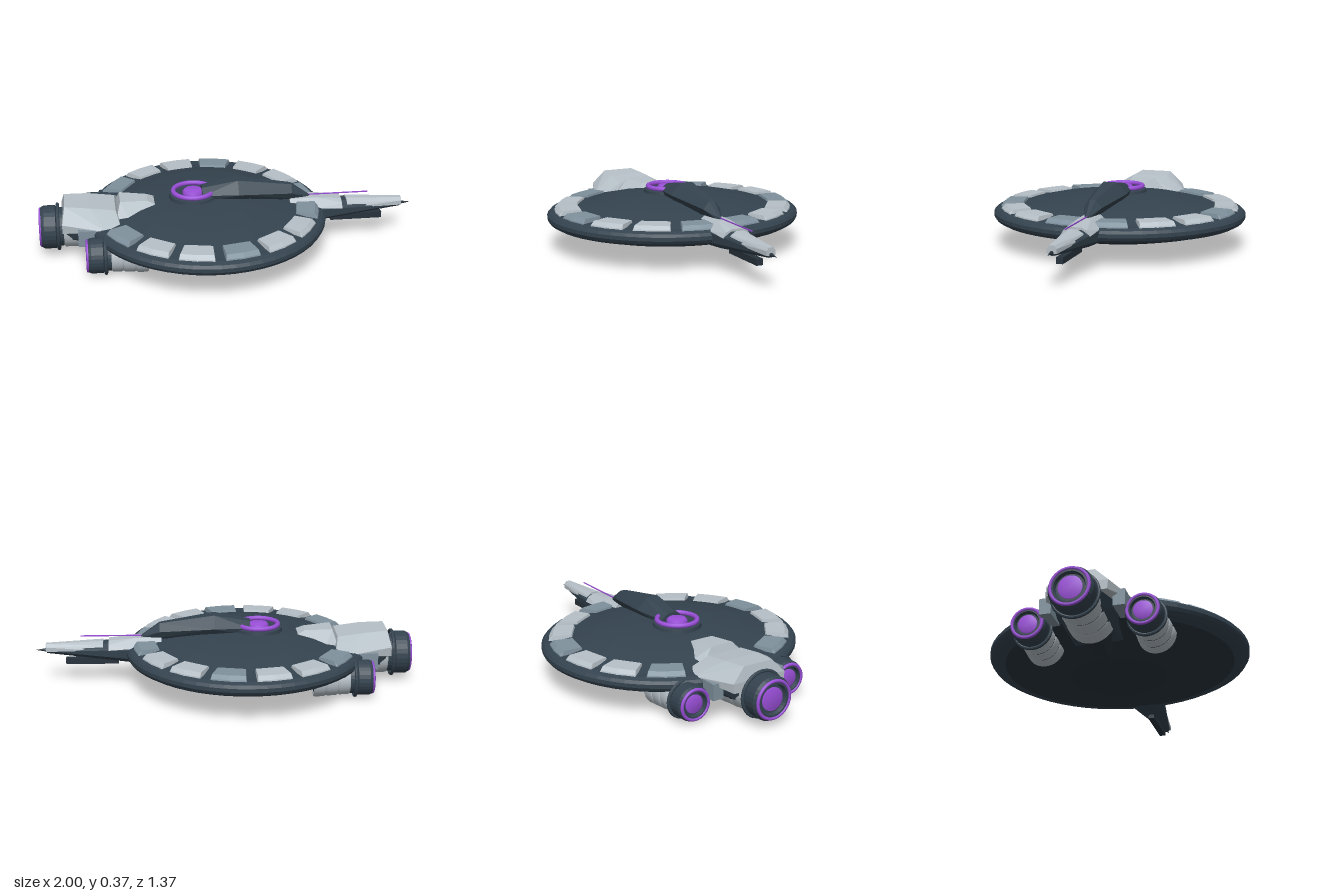
import * as THREE from 'three';
import { ConvexGeometry } from 'three/addons/geometries/ConvexGeometry.js';

const mat = (color, extra = {}) => new THREE.MeshStandardMaterial({ color, ...extra });
const dark = mat(0x34434f, { flatShading: true });
const deep = mat(0x28333c, { flatShading: true });
const light = mat(0xb6c0c7);
const blue = mat(0x7f919d);
const purple = mat(0x9a4fd8);

const CX = -0.115; // centre of the saucer
const SX = 0.925;  // saucer is slightly shorter along x

export function createModel() {
  const root = new THREE.Group();

  const add = (name, geo, material, parent = root) => {
    const m = new THREE.Mesh(geo, material);
    m.name = name;
    parent.add(m);
    return m;
  };
  const lathe = (pts, seg) => new THREE.LatheGeometry(pts.map(p => new THREE.Vector2(...p)), seg);
  const hull = pts => new ConvexGeometry(pts.map(p => new THREE.Vector3(...p)));
  // Solid through sections of [x, y, z], each mirrored in z
  const mirroredHull = pts => hull(pts.flatMap(([x, y, z]) => [[x, y, z], [x, y, -z]]));
  const box = (name, x0, x1, y0, y1, z, w, material) => {
    const m = add(name, new THREE.BoxGeometry(x1 - x0, y1 - y0, w), material);
    m.position.set((x0 + x1) / 2, (y0 + y1) / 2, z);
    return m;
  };

  // Saucer: underside, bevelled rim and shallow top
  const saucer = add('saucerHull', lathe([
    [0, 0.056], [0.25, 0.062], [0.42, 0.083], [0.55, 0.112], [0.625, 0.138]], 56), deep);
  const rim = add('saucerRim', lathe([
    [0.6, 0.13], [0.648, 0.137], [0.675, 0.152], [0.685, 0.168], [0.685, 0.188],
    [0.672, 0.202], [0.645, 0.212], [0.6, 0.214]], 56), dark);
  const deck = add('saucerDeck', lathe([
    [0.65, 0.205], [0.52, 0.226], [0.4, 0.254], [0.25, 0.275], [0.12, 0.284], [0, 0.285]], 56), dark);
  for (const m of [saucer, rim, deck]) {
    m.position.x = CX;
    m.scale.x = SX;
  }

  // Armour plates around the deck
  const plates = new THREE.Group();
  plates.name = 'deckPlates';
  root.add(plates);
  const step = Math.PI / 8;
  for (let k = 0; k < 7; k++) {
    for (const side of [1, -1]) {
      const pts = [];
      const put = (r, t, y) => pts.push(
        [CX + SX * r * Math.cos(t), y, side * r * Math.sin(t)]);
      for (const f of [0.1, 0.5, 0.9]) {
        const a = step * (k + f);
        const t = step * (k + 0.5 + (f - 0.5) * 0.93);
        put(0.515, a, 0.205);
        put(0.65, a, 0.2);
        put(0.525, t, 0.238);
        put(0.625, t, 0.236);
        put(0.645, t, 0.218);
      }
      add('deckPlate', hull(pts), k % 3 === 0 ? blue : light, plates);
    }
  }

  // Turret ring with a glowing centre
  const turret = new THREE.Group();
  turret.name = 'turret';
  turret.position.set(-0.185, 0, 0);
  root.add(turret);
  add('turretBase', lathe([
    [0.13, 0.265], [0.125, 0.298], [0.1, 0.304], [0.085, 0.298], [0, 0.298]], 32), dark, turret);
  const ring = add('turretRing', new THREE.TorusGeometry(0.105, 0.013, 8, 40), purple, turret);
  ring.rotation.x = Math.PI / 2;
  ring.position.y = 0.312;
  add('turretLight', lathe([[0.055, 0.29], [0.055, 0.31], [0.045, 0.32], [0, 0.322]], 28), purple, turret);

  // Faceted canopy tapering to the bow
  add('canopy', mirroredHull([
    [-0.14, 0.26, 0.05], [-0.14, 0.305, 0.065], [-0.14, 0.335, 0.025],
    [0.05, 0.25, 0.05], [0.05, 0.31, 0.092], [0.05, 0.37, 0.036],
    [0.34, 0.25, 0.03], [0.34, 0.285, 0.048], [0.34, 0.325, 0.015],
    [0.44, 0.24, 0.008], [0.44, 0.255, 0.005]]), dark);

  // Bow: dark spike, light upper shell, tip
  add('bowKeel', mirroredHull([
    [0.3, 0.105, 0.04], [0.3, 0.14, 0.09], [0.3, 0.2, 0.12], [0.3, 0.235, 0.06],
    [0.5, 0.118, 0.035], [0.5, 0.15, 0.085], [0.5, 0.2, 0.09], [0.5, 0.232, 0.04],
    [0.94, 0.165, 0.008], [0.94, 0.178, 0.02], [0.94, 0.2, 0.012]]), dark);
  add('bowShellRear', mirroredHull([
    [0.33, 0.23, 0.06], [0.33, 0.25, 0.04], [0.48, 0.25, 0.035],
    [0.48, 0.205, 0.085], [0.61, 0.195, 0.078], [0.61, 0.222, 0.06], [0.61, 0.236, 0.03]]), light);
  add('bowShellFront', mirroredHull([
    [0.64, 0.19, 0.062], [0.64, 0.215, 0.05], [0.64, 0.232, 0.022],
    [0.945, 0.176, 0.025], [0.945, 0.2, 0.025], [0.945, 0.216, 0.012]]), light);
  const tip = add('bowTip', new THREE.ConeGeometry(0.014, 0.08, 8), deep);
  tip.rotation.z = -Math.PI / 2;
  tip.position.set(0.96, 0.18, 0);
  box('bowAerial', 0.31, 0.76, 0.252, 0.258, 0, 0.004, purple);
  box('bowGun', 0.56, 0.84, 0.103, 0.136, 0, 0.034, deep);
  box('gunMount', 0.58, 0.68, 0.13, 0.165, 0, 0.026, deep);

  // Rear armour in two steps
  add('rearArmour', mirroredHull([
    [-0.88, 0.17, 0.15], [-0.88, 0.22, 0.155], [-0.865, 0.292, 0.085],
    [-0.74, 0.17, 0.165], [-0.74, 0.284, 0.1],
    [-0.65, 0.205, 0.235], [-0.58, 0.215, 0.2], [-0.6, 0.265, 0.1]]), light);
  add('rearArmourFront', mirroredHull([
    [-0.6, 0.215, 0.13], [-0.53, 0.225, 0.15], [-0.575, 0.296, 0.065],
    [-0.43, 0.286, 0.045], [-0.355, 0.25, 0.07]]), light);
  add('rearCore', mirroredHull([
    [-0.86, 0.1, 0.09], [-0.86, 0.2, 0.13], [-0.5, 0.08, 0.12], [-0.5, 0.21, 0.24]]), dark);
  add('rearKeel', mirroredHull([
    [-0.62, 0.035, 0.05], [-0.62, 0.08, 0.1], [-0.62, 0.15, 0.1],
    [-0.35, 0.06, 0.015], [-0.35, 0.12, 0.05]]), deep);

  // Engine with its axis along x, exhaust at x = 0
  const engine = (name, x, y, z, r, len) => {
    const g = new THREE.Group();
    g.name = name;
    g.position.set(x, y, z);
    root.add(g);
    const turn = (part, pts, material) =>
      add(part, lathe(pts.map(([a, b]) => [a * r, b]), 28).rotateZ(-Math.PI / 2), material, g);
    turn('nozzle', [
      [0, 0.022], [0.6, 0.022], [0.66, 0.004], [0.86, 0.006], [0.95, 0.025],
      [0.95, 0.085], [0.85, 0.09], [0.85, 0.13], [0, 0.13]], dark);
    turn('nozzleGlow', [[0, 0.014], [0.5, 0.014], [0.5, 0.03]], purple);
    const hoop = (part, R, t, at, material) => {
      const h = add(part, new THREE.TorusGeometry(R * r, t, 8, 32), material, g);
      h.rotation.y = Math.PI / 2;
      h.position.x = at;
    };
    hoop('nozzleRim', 0.8, 0.009, 0.008, purple);
    hoop('nozzleCollar', 0.98, 0.009, 0.098, dark);
    // Stepped casing with grooves between bands
    const a = 0.125, w = (len - a) / 3;
    for (let i = 0; i < 3; i++) {
      const s = 0.9 + i * 0.05, b = a + i * w;
      turn('casingBand', [
        [s - 0.06, b], [s, b + 0.008], [s + 0.025, b + w - 0.01], [s - 0.03, b + w]], light);
    }
    turn('casingFront', [[1.0, len - 0.005], [0.92, len], [0.9, len - 0.006]], light);
    turn('intake', [[0.92, len - 0.008], [0, len - 0.008]], deep);
  };
  engine('mainEngine', -1.0, 0.145, 0, 0.12, 0.39);
  for (const side of [1, -1]) {
    engine('sideEngine', -0.765, 0.105, side * 0.29, 0.096, 0.315);
    // Bracket carrying the side engine
    box('engineBracket', -0.8, -0.66, 0.12, 0.205, side * 0.185, 0.06, blue);
    box('enginePylon', -0.64, -0.48, 0.12, 0.19, side * 0.27, 0.1, dark);
  }
  return root;
}
